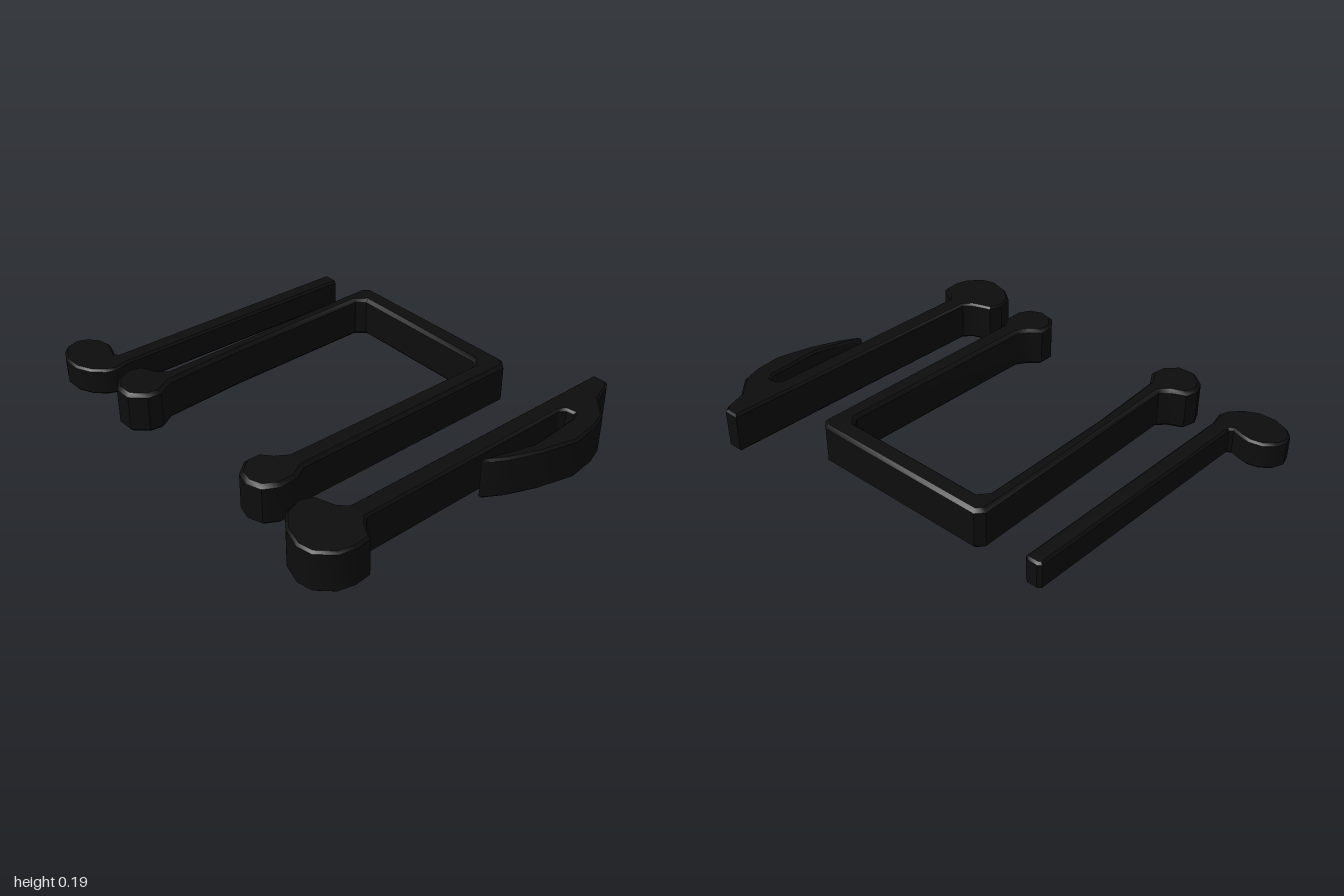
import * as THREE from 'three';
import { toCreasedNormals } from 'three/addons/utils/BufferGeometryUtils.js';

// Flat outlines as [x, z] pairs
const quarter = [
  [-0.77, -0.6], [-0.755, -0.612], [-0.71, -0.612], [-0.692, -0.6], [-0.692, 0.58],
  [-0.675, 0.65], [-0.69, 0.69], [-0.735, 0.74], [-0.8, 0.773], [-0.88, 0.775],
  [-0.95, 0.745], [-0.985, 0.71], [-1, 0.66], [-0.98, 0.61], [-0.935, 0.572],
  [-0.88, 0.56], [-0.83, 0.572], [-0.79, 0.587], [-0.775, 0.575],
];

const beamed = [
  [-0.465, -0.57], [-0.435, -0.605], [0.4, -0.615], [0.443, -0.58],
  // right stem and head
  [0.452, 0.51], [0.487, 0.57], [0.49, 0.65], [0.457, 0.712], [0.395, 0.735],
  [0.33, 0.72], [0.28, 0.66], [0.28, 0.592], [0.325, 0.553], [0.355, 0.505],
  // inside of the arch
  [0.357, -0.485], [0.325, -0.518], [-0.365, -0.515], [-0.397, -0.475],
  // left stem and head
  [-0.385, 0.2], [-0.36, 0.575], [-0.317, 0.645], [-0.325, 0.705], [-0.38, 0.765],
  [-0.46, 0.768], [-0.525, 0.72], [-0.552, 0.66], [-0.535, 0.6], [-0.47, 0.57],
  [-0.437, 0.535],
];

const eighth = [
  [0.732, -0.82], [0.802, -0.82], [0.825, -0.79],
  // flag
  [0.862, -0.695], [0.95, -0.61], [0.98, -0.53], [0.998, -0.4], [0.96, -0.24],
  [0.91, -0.11], [0.875, -0.05], [0.85, -0.025], [0.905, -0.25], [0.902, -0.31],
  [0.885, -0.505], [0.865, -0.535], [0.832, -0.53], [0.815, -0.505],
  // stem foot and head
  [0.825, 0.525], [0.85, 0.55], [0.918, 0.588], [0.926, 0.66], [0.91, 0.73],
  [0.85, 0.795], [0.785, 0.81], [0.695, 0.785], [0.62, 0.73], [0.593, 0.65],
  [0.615, 0.592], [0.705, 0.56], [0.735, 0.525],
];

const black = new THREE.MeshStandardMaterial({ color: 0x0d0d0d });

// A slab standing on y = 0 with slightly bevelled edges
function makeNote(name, outline, height, bevel) {
  const shape = new THREE.Shape(outline.map(([x, z]) => new THREE.Vector2(x, -z)));
  const geometry = new THREE.ExtrudeGeometry(shape, {
    depth: height - 2 * bevel,
    bevelEnabled: true,
    bevelThickness: bevel,
    bevelSize: bevel,
    bevelOffset: -bevel,
    bevelSegments: 1,
  });
  geometry.translate(0, 0, bevel);
  geometry.rotateX(-Math.PI / 2);
  const mesh = new THREE.Mesh(toCreasedNormals(geometry, 0.6), black);
  mesh.name = name;
  return mesh;
}

export function createModel() {
  const model = new THREE.Group();
  model.name = 'musicNotes';
  model.add(
    makeNote('quarterNote', quarter, 0.125, 0.01),
    makeNote('beamedNotes', beamed, 0.187, 0.015),
    makeNote('eighthNote', eighth, 0.183, 0.01),
  );
  return model;
}
